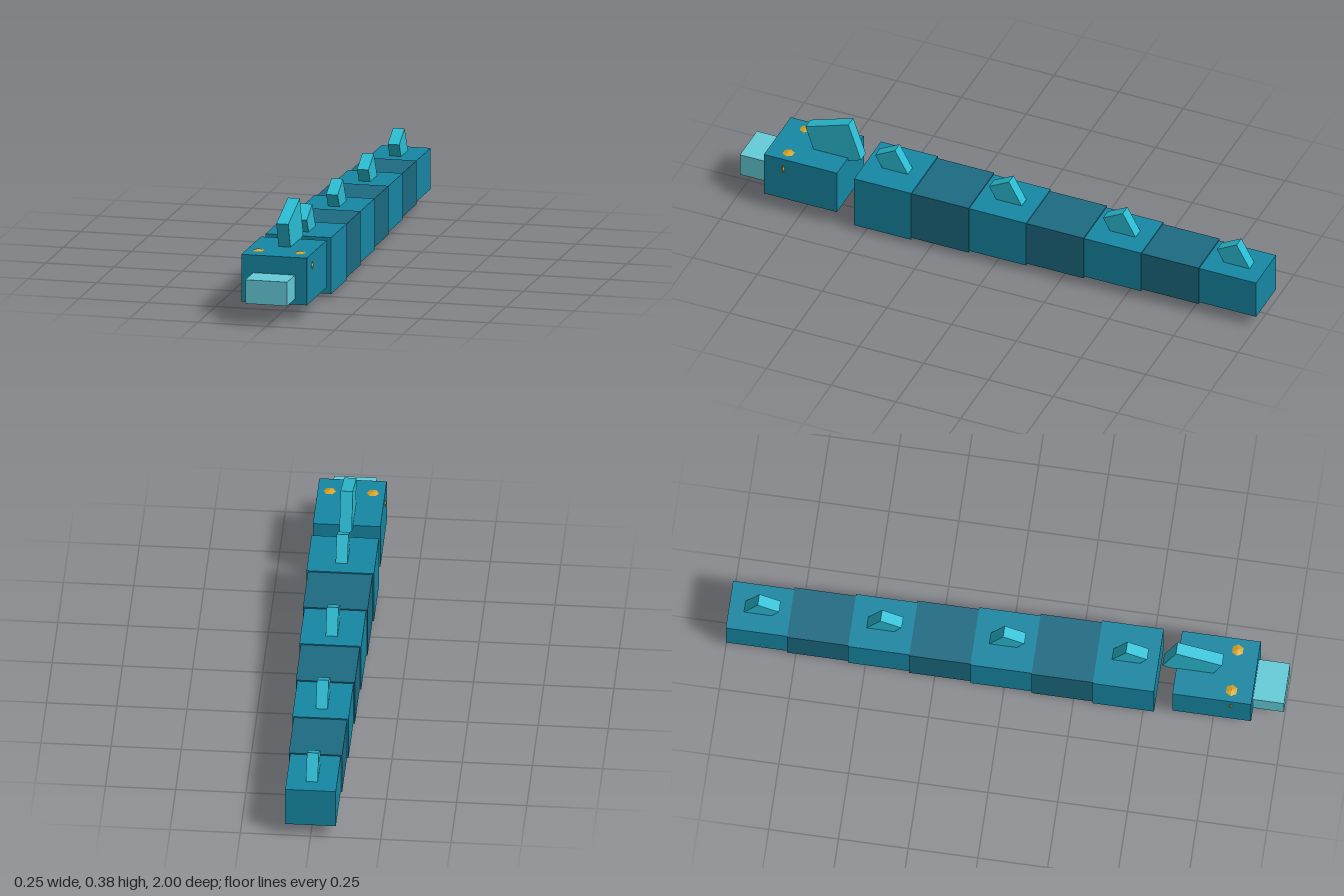
import * as THREE from 'three';

const mat = (color) => new THREE.MeshStandardMaterial({ color, flatShading: true });

export function createModel() {
  const model = new THREE.Group();
  const body = mat(0x1688a4), dark = mat(0x1c6b82), fin = mat(0x2bbfd6), pale = mat(0x64ccd8), gold = mat(0xd9a428);

  const add = (name, geometry, material, x, y, z, tilt = 0) => {
    const mesh = new THREE.Mesh(geometry, material);
    mesh.name = name;
    mesh.position.set(x, y, z);
    mesh.rotation.x = tilt;
    model.add(mesh);
    return mesh;
  };
  const box = (name, material, [w, h, d], [x, y, z], tilt) =>
    add(name, new THREE.BoxGeometry(w, h, d), material, x, y, z, tilt);

  // Head, snout and tilted crest
  box('head', body, [0.24, 0.172, 0.282], [0, 0.144, 0.747]);
  box('snout', pale, [0.153, 0.087, 0.16], [0, 0.122, 0.92]);
  box('headCrest', fin, [0.044, 0.15, 0.175], [0, 0.278, 0.663], 0.33);

  // Faceted eyes: hexagonal studs on top, narrow diamonds on the sides
  for (const side of [1, -1]) {
    add('topEye', new THREE.SphereGeometry(1, 6, 2), gold, side * 0.077, 0.23, 0.812)
      .scale.set(0.022, 0.007, 0.022);
    add('sideEye', new THREE.OctahedronGeometry(1), gold, side * 0.119, 0.188, 0.814)
      .scale.set(0.007, 0.019, 0.008);
  }

  // Tapering body segments, with a spine on every other one
  const length = 0.22;
  for (let i = 0; i < 7; i++) {
    const width = 0.24 - i * 0.01;
    const height = 0.205 - i * 0.0093;
    const z = 0.43 - i * length;
    const even = i % 2 === 0;
    box('bodySegment', even ? body : dark, [width, height, length], [0, 0.1225, z]);
    if (even) {
      const top = 0.1225 + height / 2;
      box('backSpine', fin, [0.042, 0.12, 0.087], [0, top + 0.017, z + 0.004], 0.5);
    }
  }

  // Belly plates
  box('frontBellyPlate', pale, [0.16, 0.04, 0.13], [0, 0.02, 0.236]);
  box('rearBellyPlate', pale, [0.15, 0.04, 0.13], [0, 0.04, -0.425]);

  return model;
}
